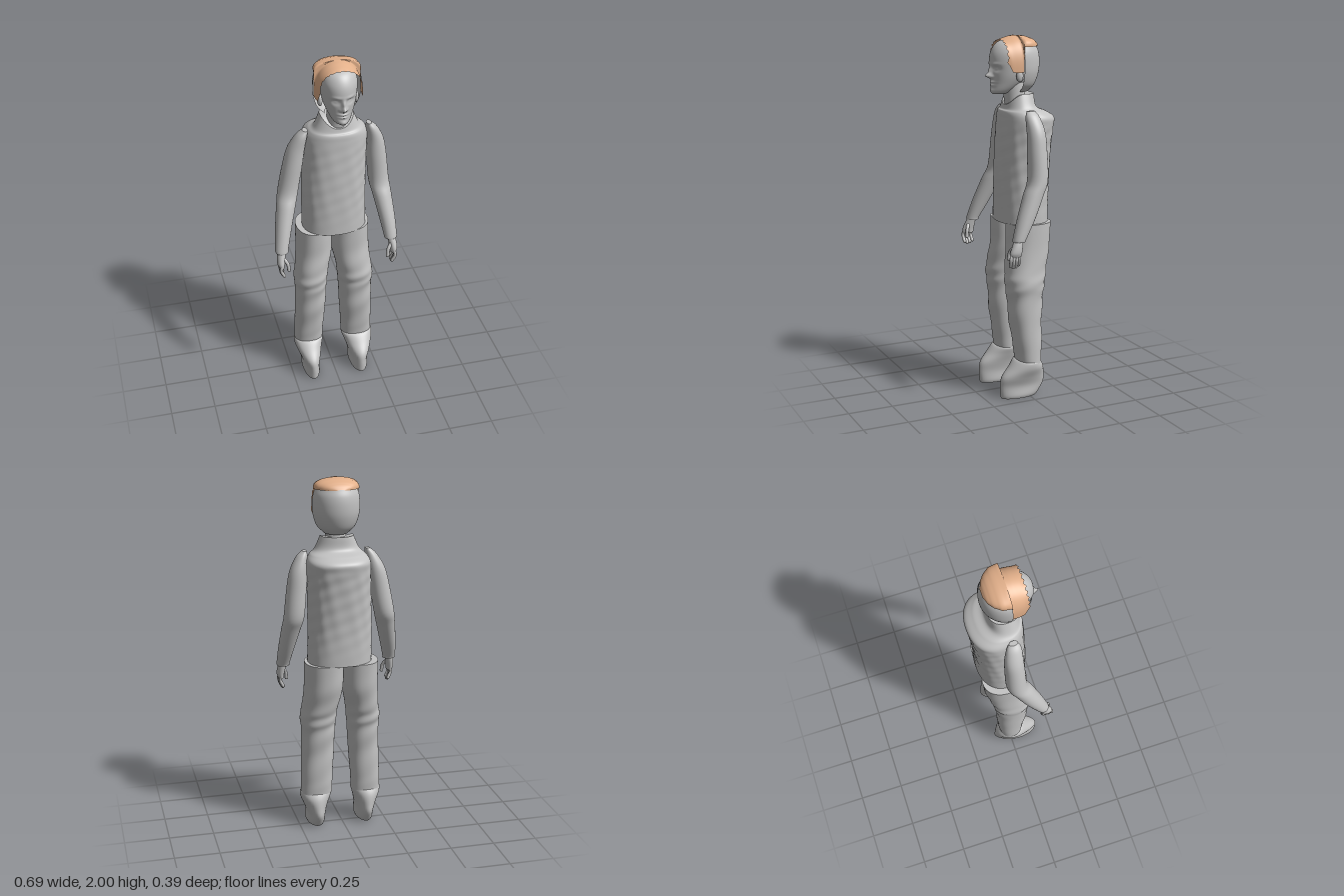
import * as THREE from 'three';

const grey = new THREE.MeshStandardMaterial({ color: 0xc2c2c2, side: THREE.DoubleSide });
grey.name = 'plain grey';
const tan = new THREE.MeshStandardMaterial({ color: 0xe3b08a, side: THREE.DoubleSide });
tan.name = 'hair tan';

const CX = 0.028; // the head and collar sit a little off centre

function named(name, geometry, material = grey) {
  const mesh = new THREE.Mesh(geometry, material);
  mesh.name = name;
  return mesh;
}

// Grid surface from f(u, v) -> [x, y, z]; wrap joins the u direction
function grid(nu, nv, f, wrap) {
  const pos = [], index = [], cols = wrap ? nu : nu + 1;
  for (let j = 0; j <= nv; j++) for (let i = 0; i < cols; i++) pos.push(...f(i / nu, j / nv));
  for (let j = 0; j < nv; j++) for (let i = 0; i < nu; i++) {
    const a = j * cols + i, b = j * cols + (i + 1) % cols, c = a + cols, d = b + cols;
    index.push(a, c, b, b, c, d);
  }
  return { pos, index, cols };
}

function finish({ pos, index }) {
  const g = new THREE.BufferGeometry();
  g.setAttribute('position', new THREE.Float32BufferAttribute(pos, 3));
  g.setIndex(index);
  g.computeVertexNormals();
  return g;
}

// Smooth loft upward through sections [y, cx, cz, rx, rz], with optional shaping rule
function loft(sections, { power = 2, nu = 40, nv = 40, shape = null, start = 0, sweep = Math.PI * 2, caps = true } = {}) {
  const s = [...sections].sort((a, b) => a[0] - b[0]);
  const mid = new THREE.CatmullRomCurve3(s.map(q => new THREE.Vector3(q[1], q[0], q[2])), false, 'catmullrom');
  const rad = new THREE.CatmullRomCurve3(s.map(q => new THREE.Vector3(q[3], 0, q[4])), false, 'catmullrom');
  const bend = v => Math.sign(v) * Math.abs(v) ** (2 / power);
  const closed = sweep > 6;
  const g = grid(nu, nv, (u, v) => {
    const a = start + u * sweep, m = mid.getPoint(v), r = rad.getPoint(v);
    const p = new THREE.Vector3(m.x + r.x * bend(Math.cos(a)), m.y, m.z + r.z * bend(Math.sin(a)));
    if (shape) shape(p, a, v);
    return [p.x, p.y, p.z];
  }, closed);
  if (closed && caps) for (const top of [0, 1]) {
    const from = top * nv * nu * 3, base = g.pos.length / 3, c = [0, 0, 0];
    const ring = g.pos.slice(from, from + nu * 3);
    ring.forEach((v, i) => { c[i % 3] += v / nu; });
    g.pos.push(...ring, ...c);
    for (let i = 0; i < nu; i++) {
      const a = base + i, b = base + (i + 1) % nu;
      g.index.push(base + nu, top ? b : a, top ? a : b);
    }
  }
  return finish(g);
}

const bump = (p, x, y, sx, sy) => Math.exp(-(((p.x - CX - x) / sx) ** 2) - ((p.y - y) / sy) ** 2);

function makeHead() {
  const head = new THREE.Group();
  head.name = 'head';
  // Rows are [y, front z, back z, half width]
  const rows = [
    [1.69, 0.148, 0.07, 0.022], [1.705, 0.157, 0.04, 0.045], [1.75, 0.155, -0.02, 0.07],
    [1.8, 0.158, -0.06, 0.087], [1.87, 0.163, -0.085, 0.097], [1.92, 0.152, -0.09, 0.096],
    [1.96, 0.122, -0.08, 0.08], [1.985, 0.07, -0.05, 0.045]];
  const face = p => {
    if (p.z < 0.06) return;
    for (const s of [-1, 1]) {
      p.z -= 0.014 * bump(p, s * 0.038, 1.828, 0.02, 0.014); // eye sockets
      p.z += 0.007 * bump(p, s * 0.038, 1.826, 0.012, 0.007); // eyelids
      p.z += 0.005 * bump(p, s * 0.036, 1.852, 0.026, 0.008); // brows
      p.z += 0.008 * bump(p, s * 0.016, 1.783, 0.008, 0.008); // nostrils
    }
    p.z += 0.034 * bump(p, 0, 1.788, 0.012, 0.014) + 0.016 * bump(p, 0, 1.815, 0.01, 0.022); // nose
    p.z += 0.009 * bump(p, 0, 1.755, 0.024, 0.006) + 0.008 * bump(p, 0, 1.738, 0.02, 0.006); // lips
    p.z += 0.006 * bump(p, 0, 1.708, 0.02, 0.012); // chin
  };
  head.add(named('face', loft(rows.map(([y, f, b, w]) => [y, CX, (f + b) / 2, w, (f - b) / 2]),
    { nu: 120, nv: 90, shape: face })));
  head.add(named('neck', loft([[1.58, CX, 0.01, 0.066, 0.06], [1.66, CX, 0.02, 0.058, 0.058],
    [1.75, CX, 0.03, 0.058, 0.06]])));
  // Rounded shell round the back of the head
  head.add(named('backOfHead', loft([
    [1.7, CX, 0.02, 0.065, 0.075], [1.74, CX, 0.02, 0.105, 0.108], [1.8, CX, 0.02, 0.126, 0.13],
    [1.86, CX, 0.02, 0.13, 0.136], [1.91, CX, 0.02, 0.125, 0.131], [1.948, CX, 0.02, 0.11, 0.116]],
  { start: Math.PI, sweep: Math.PI })));
  for (const s of [-1, 1]) {
    const ear = named(s > 0 ? 'leftEar' : 'rightEar', new THREE.SphereGeometry(1, 16, 12));
    ear.scale.set(0.014, 0.034, 0.02);
    ear.position.set(CX + s * 0.097, 1.79, 0.035);
    head.add(ear);
  }
  return head;
}

// Hair: arches [z, lower edge y, top y, half width] from fringe to crown
function makeHair() {
  const rows = [
    [0.11, 1.865, 1.978, 0.112], [0.085, 1.812, 1.988, 0.12], [0.05, 1.808, 1.997, 0.124],
    [0.02, 1.81, 2.0, 0.125], [0.019, 1.943, 2.0, 0.125], [-0.03, 1.943, 1.996, 0.118],
    [-0.065, 1.943, 1.984, 0.092], [-0.088, 1.943, 1.968, 0.062], [-0.102, 1.944, 1.948, 0.02]];
  const n = rows.length - 1, sub = 3;
  return named('hair', finish(grid(60, n * sub, (u, v) => {
    const k = Math.min(n - 1, Math.floor(v * n + 1e-6)), t = v * n - k;
    const [z, low, top, w] = rows[k].map((q, i) => q + (rows[k + 1][i] - q) * t);
    const a = (u - 0.5) * Math.PI;
    const fringe = v === 0 ? 0.005 * Math.sin(u * 70) : 0;
    return [CX + w * Math.sin(a), low + (top - low) * Math.max(0, Math.cos(a)) ** 0.7, z + fringe];
  }, false)), tan);
}

// Jumper with soft wrinkles and a collar that dips at the front
function makeJumper() {
  return named('jumper', loft([
    [0.985, 0.018, -0.018, 0.178, 0.138], [1.2, 0.018, -0.022, 0.176, 0.139],
    [1.4, 0.022, -0.032, 0.174, 0.143], [1.51, 0.027, -0.04, 0.175, 0.146],
    [1.56, 0.03, -0.043, 0.172, 0.146], [1.592, 0.03, -0.022, 0.152, 0.122],
    [1.62, 0.028, -0.001, 0.122, 0.088], [1.69, CX, 0, 0.09, 0.08]], {
    power: 2.3, nu: 90, nv: 90,
    shape: (p, a, v) => {
      const fade = Math.min(1, v * 8) * Math.max(0, Math.min(1, (1.56 - p.y) * 12));
      const w = 1 + 0.012 * fade * Math.sin(a * 9 + p.y * 31) * Math.sin(p.y * 47 - a * 4);
      p.x *= w;
      p.z *= w;
      p.y -= 0.06 * Math.max(0, Math.sin(a)) ** 2 * Math.max(0, (p.y - 1.6) / 0.09);
    },
  }));
}

function makeArm(side) {
  const arm = new THREE.Group();
  arm.name = side > 0 ? 'leftArm' : 'rightArm';
  // The right shoulder sits closer to the centre line
  const fix = ([y, x, ...rest]) =>
    [y, side > 0 ? x : -(x - 0.055 * Math.max(0, y - 0.95) / 0.6), ...rest];
  arm.add(named('sleeve', loft([
    [1.61, 0.205, 0.008, 0.014, 0.024], [1.575, 0.222, 0.005, 0.032, 0.04],
    [1.5, 0.243, -0.004, 0.048, 0.05], [1.4, 0.254, -0.005, 0.055, 0.054],
    [1.25, 0.268, -0.002, 0.057, 0.056], [1.17, 0.28, 0.03, 0.053, 0.056],
    [1.05, 0.297, 0.08, 0.045, 0.05], [0.95, 0.308, 0.123, 0.037, 0.037],
    [0.932, 0.308, 0.128, 0.035, 0.034]].map(fix))));
  const hand = new THREE.Group();
  hand.name = 'hand';
  hand.add(named('palm', loft([
    [0.95, 0.308, 0.128, 0.022, 0.024], [0.91, 0.316, 0.14, 0.023, 0.03],
    [0.875, 0.32, 0.15, 0.021, 0.034], [0.852, 0.318, 0.152, 0.015, 0.032]].map(fix),
  { nu: 20, nv: 14 })));
  const finger = (name, pts, r) => {
    const curve = new THREE.CatmullRomCurve3(pts.map(([x, y, z]) => new THREE.Vector3(side * x, y, z)));
    hand.add(named(name, new THREE.TubeGeometry(curve, 10, r, 8)));
    const tip = named(name + 'Tip', new THREE.SphereGeometry(r, 8, 6));
    tip.position.copy(curve.getPoint(1));
    hand.add(tip);
  };
  for (let i = 0; i < 4; i++) {
    const z = 0.128 + i * 0.016, drop = [0.012, 0.003, 0, 0.008][i];
    finger('finger' + (i + 1), [[0.318, 0.868, z], [0.324, 0.83 + drop, z + 0.005],
      [0.308, 0.794 + drop, z + 0.002]], 0.0092);
  }
  finger('thumb', [[0.306, 0.905, 0.155], [0.286, 0.875, 0.17], [0.281, 0.838, 0.176]], 0.01);
  arm.add(hand);
  return arm;
}

function makeLeg(side) {
  const leg = new THREE.Group();
  leg.name = side > 0 ? 'leftLeg' : 'rightLeg';
  const fix = ([y, x, z, rx, rz]) => side > 0 ? [y, x, z, rx, rz] : [y, 0.012 - x, z, rx * 0.93, rz];
  leg.add(named('trouserLeg', loft([
    [0.988, 0.108, -0.025, 0.107, 0.125], [0.84, 0.11, -0.018, 0.107, 0.12],
    [0.72, 0.127, 0.002, 0.1, 0.115], [0.65, 0.136, 0.01, 0.101, 0.11],
    [0.58, 0.136, 0.01, 0.095, 0.1], [0.45, 0.14, 0.01, 0.093, 0.09],
    [0.3, 0.147, 0, 0.09, 0.077], [0.2, 0.15, -0.003, 0.089, 0.067]].map(fix), {
    power: 2.2, nu: 48, nv: 60,
    shape: (p, a, v) => { p.z += 0.003 * Math.sin(v * 38 + a * 2) * Math.sin(v * Math.PI); },
  })));
  // Shoe narrows to its sole and stretches toward the toe
  leg.add(named('shoe', loft([
    [0.215, 0.15, 0.005, 0.082, 0.06], [0.205, 0.151, 0.005, 0.092, 0.075],
    [0.17, 0.155, 0.012, 0.085, 0.1], [0.12, 0.153, 0.03, 0.066, 0.127],
    [0.07, 0.15, 0.034, 0.052, 0.132], [0.02, 0.15, 0.048, 0.053, 0.116],
    [0, 0.15, 0.055, 0.047, 0.106]].map(fix), { nv: 30 })));
  return leg;
}

export function createModel() {
  const model = new THREE.Group();
  model.name = 'standingFigure';
  model.add(makeHead(), makeHair(), makeJumper());
  for (const side of [1, -1]) model.add(makeArm(side), makeLeg(side));
  return model;
}
